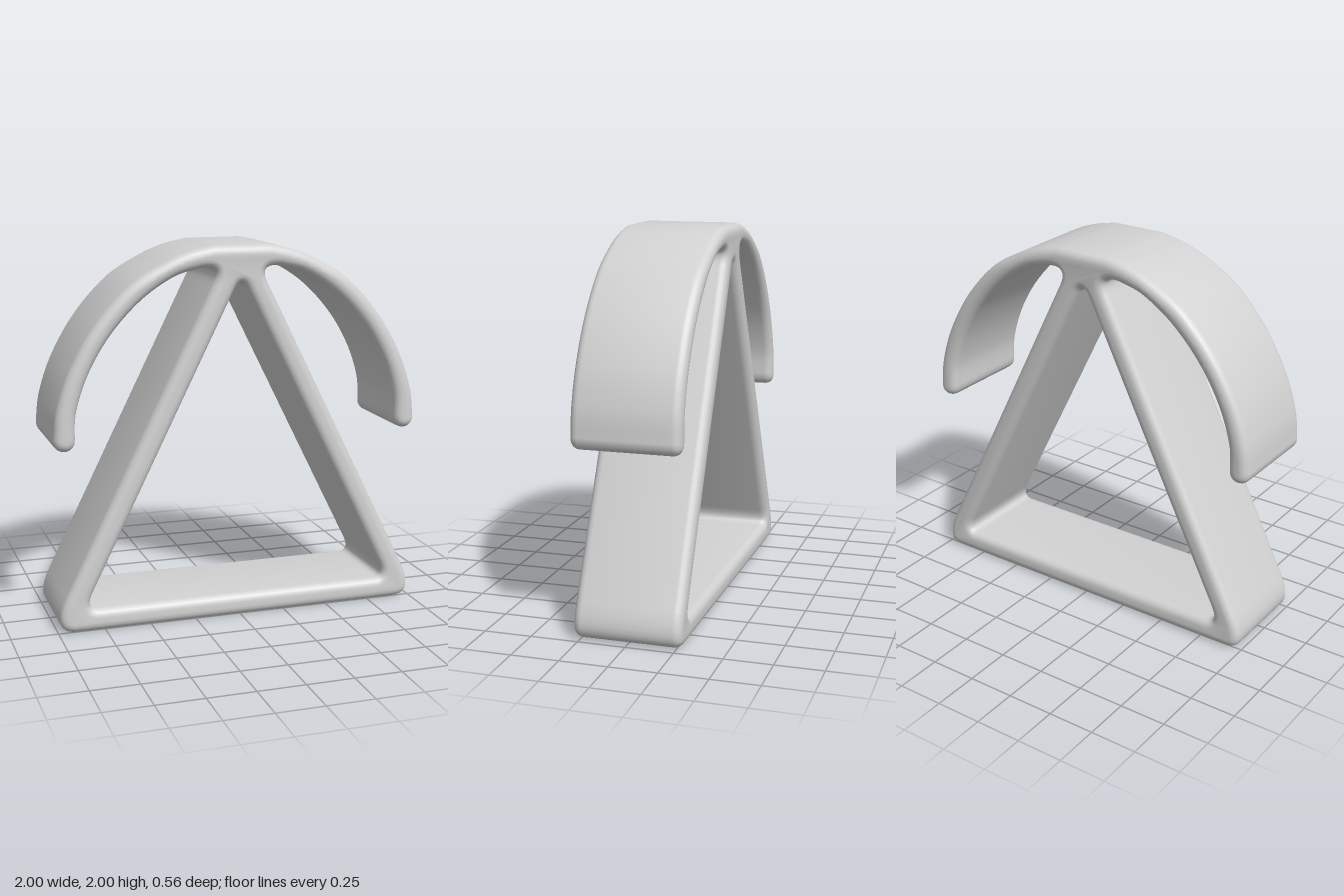
import * as THREE from 'three';
import { toCreasedNormals } from 'three/addons/utils/BufferGeometryUtils.js';

const vec = ([x, y]) => new THREE.Vector2(x, y);

// Completes a right-hand half outline with its mirror image
function mirrored(half) {
  const points = half.getPoints(10);
  const other = points
    .filter((p) => Math.abs(p.x) > 1e-4)
    .map((p) => new THREE.Vector2(-p.x, p.y))
    .reverse();
  return [...points, ...other];
}

export function createModel() {
  const group = new THREE.Group();
  const grey = new THREE.MeshStandardMaterial({ color: 0xd2d2d2 });
  grey.name = 'plain grey';

  // Outer contour: top of the arch, rounded tip, underside, leg, foot
  const outer = new THREE.Path();
  outer.moveTo(0, 2);
  outer.lineTo(0.15, 2);
  outer.splineThru([
    [0.28, 1.972], [0.42, 1.915], [0.6, 1.805], [0.78, 1.61],
    [0.91, 1.39], [0.98, 1.19], [1, 1.035],
  ].map(vec));
  outer.bezierCurveTo(1, 0.955, 0.886, 0.955, 0.886, 1.035);
  outer.splineThru([
    [0.876, 1.18], [0.81, 1.37], [0.695, 1.56], [0.535, 1.73],
    [0.36, 1.845], [0.22, 1.885],
  ].map(vec));
  outer.quadraticCurveTo(0.09, 1.905, 0.155, 1.79);
  outer.lineTo(0.955, 0.19);
  outer.quadraticCurveTo(1.045, 0, 0.9, 0);
  outer.lineTo(0, 0);

  // Triangular opening with softened corners
  const opening = new THREE.Path();
  opening.moveTo(0, 1.805);
  opening.quadraticCurveTo(0.018, 1.805, 0.035, 1.77);
  opening.lineTo(0.815, 0.205);
  opening.quadraticCurveTo(0.855, 0.12, 0.785, 0.12);
  opening.lineTo(0, 0.12);

  // The opening runs against the outer contour so its walls face inward
  const shape = new THREE.Shape(mirrored(outer));
  shape.holes.push(new THREE.Path(mirrored(opening).reverse()));

  // Wide band with rounded rims, inset so the contour keeps its size
  const depth = 0.565, rim = 0.045;
  const geometry = new THREE.ExtrudeGeometry(shape, {
    depth: depth - 2 * rim,
    bevelEnabled: true,
    bevelThickness: rim,
    bevelSize: rim,
    bevelOffset: -rim,
    bevelSegments: 5,
  });
  geometry.translate(0, 0, rim - depth / 2);

  const frame = new THREE.Mesh(toCreasedNormals(geometry, 0.8), grey);
  frame.name = 'archedTriangleFrame';
  group.add(frame);
  return group;
}
